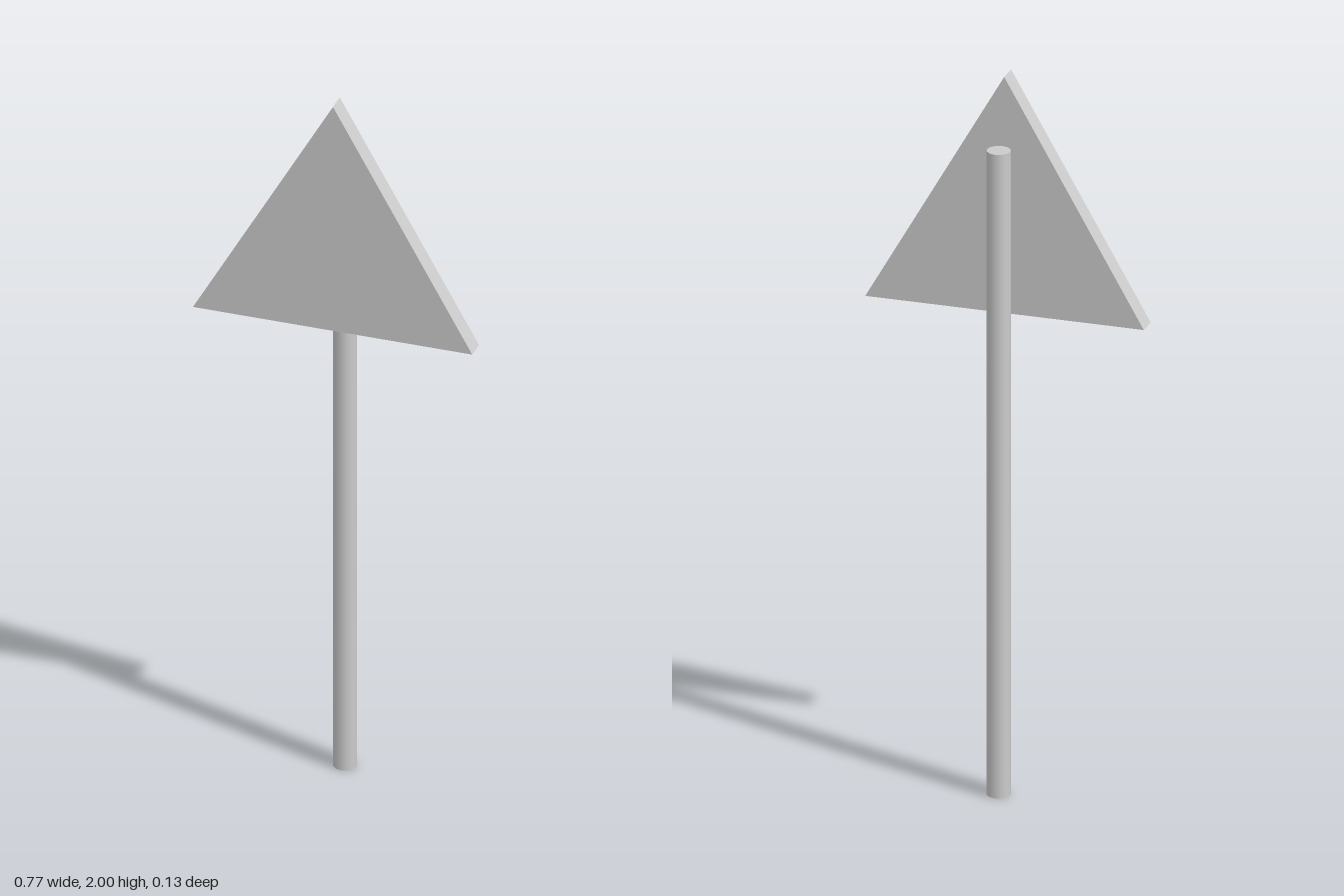
import * as THREE from 'three';

export function createModel() {
  const group = new THREE.Group();
  const material = new THREE.MeshStandardMaterial({ color: 0xcccccc });

  // Round upright pole, standing just behind the panel
  const poleHeight = 1.81;
  const pole = new THREE.Mesh(new THREE.CylinderGeometry(0.032, 0.032, poleHeight, 12), material);
  pole.name = 'pole';
  pole.position.set(0, poleHeight / 2, -0.033);
  group.add(pole);

  // Triangular sign panel, tilted very slightly
  const outline = new THREE.Shape([
    new THREE.Vector2(-0.385, 1.34),
    new THREE.Vector2(0.383, 1.333),
    new THREE.Vector2(0, 2),
  ]);
  const panel = new THREE.Mesh(
    new THREE.ExtrudeGeometry(outline, { depth: 0.055, bevelEnabled: false }),
    material
  );
  panel.name = 'signPanel';
  panel.position.z = 0.01;
  group.add(panel);

  return group;
}
